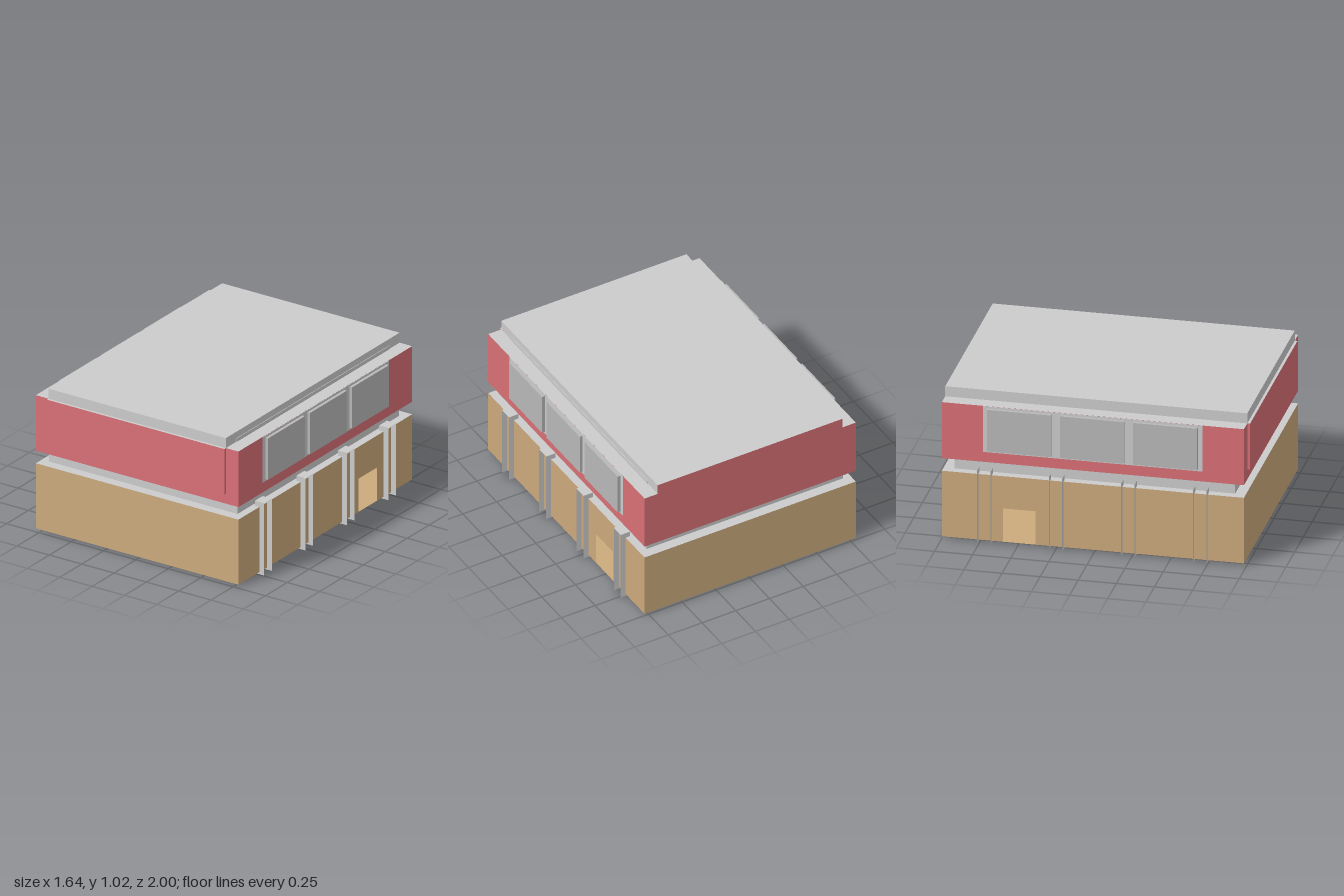
import * as THREE from 'three';

const mat = (color, side = THREE.FrontSide) => new THREE.MeshStandardMaterial({ color, side });
const grey = mat(0xcccccc), greyThin = mat(0xcccccc, THREE.DoubleSide);
const glass = mat(0xb8b8b8);
const red = mat(0xd97076), tanThin = mat(0xcca970, THREE.DoubleSide);
tanThin.color.set(0xcbaa7c);

export function createModel() {
  const root = new THREE.Group();
  const building = new THREE.Group();
  building.name = 'building';
  building.position.x = -0.003;
  root.add(building);

  const add = (name, geometry, material, parent = building) => {
    const mesh = new THREE.Mesh(geometry, material);
    mesh.name = name;
    parent.add(mesh);
    return mesh;
  };
  // Box given by its limits on each axis
  const box = (name, [x0, x1], [y0, y1], [z0, z1], material, parent) => {
    const mesh = add(name, new THREE.BoxGeometry(x1 - x0, y1 - y0, z1 - z0), material, parent);
    mesh.position.set((x0 + x1) / 2, (y0 + y1) / 2, (z0 + z1) / 2);
    return mesh;
  };
  // Horizontal sheet, facing up or down
  const sheet = (name, [x0, x1], y, [z0, z1], material, up = true, parent) => {
    const g = new THREE.PlaneGeometry(x1 - x0, z1 - z0).rotateX(up ? -Math.PI / 2 : Math.PI / 2);
    const mesh = add(name, g, material, parent);
    mesh.position.set((x0 + x1) / 2, y, (z0 + z1) / 2);
    return mesh;
  };

  const W = 0.783, ZB = -1, ZF = 0.982;   // half width, back, front
  const Y0 = 0.015, Y1 = 0.472;           // ground storey
  const Y2 = 0.56, Y3 = 0.95;             // upper storey

  // Hollow ground storey: floor, ceiling and thin walls
  sheet('groundFloor', [-W, W], Y0, [ZB, ZF], tanThin);
  sheet('groundCeiling', [-W, W], Y1, [ZB, ZF], greyThin);
  for (const [name, z] of [['frontWall', ZF], ['backWall', ZB]]) {
    const wall = add(name, new THREE.PlaneGeometry(2 * W, Y1 - Y0), tanThin);
    wall.position.set(0, (Y0 + Y1) / 2, z);
    if (z < 0) wall.rotation.y = Math.PI;
  }

  // Side wall outline with a doorway notch; shape x runs along -z
  const sideShape = new THREE.Shape([
    [-ZF, Y0], [0.385, Y0], [0.385, 0.248], [0.598, 0.248],
    [0.598, Y0], [-ZB, Y0], [-ZB, Y1], [-ZF, Y1],
  ].map(([x, y]) => new THREE.Vector2(x, y)));

  // Recessed band and upper storey
  box('recessedBand', [-0.728, 0.728], [Y1, Y2], [-0.93, 0.912], grey);
  box('upperStorey', [-W, W], [Y2, Y3], [ZB, ZF], [red, red, grey, grey, red, red]);

  // Raised roof, its back flush with the upper storey
  box('roof', [-0.686, 0.686], [Y3, 1.02], [ZB, ZF], [grey, grey, grey, grey, grey, red]);
  box('roofFlashing', [0.684, 0.69], [Y3, 0.975], [-0.88, 0.86], grey);

  // Flat panel on the front
  box('frontPanel', [-0.686, 0.686], [0.63, Y3], [ZF, 1], [red, red, grey, red, red, red]);

  for (const s of [1, -1]) {
    const side = s > 0 ? 'left' : 'right';
    const span = (a, b) => (s > 0 ? [a, b] : [-b, -a]);

    const wall = add(`${side}Wall`, new THREE.ShapeGeometry(sideShape), tanThin);
    wall.rotation.y = Math.PI / 2;
    wall.position.x = s * W;

    // Window strip with three projecting panes
    box(`${side}WindowFrame`, span(W - 0.01, W + 0.003), [0.63, Y3 - 0.001], [-0.73, 0.71], grey);
    for (const z of [-0.49, -0.01, 0.47]) {
      box(`${side}Window`, span(W, 0.807), [0.645, 0.935], [z - 0.21, z + 0.21], glass);
    }

    // Open channel columns: two fins joined by an inner web
    for (const zc of [-0.717, -0.246, 0.228, 0.7]) {
      const column = new THREE.Group();
      column.name = `${side}Column`;
      building.add(column);
      const xs = span(0.75, 0.82), zs = [zc - 0.044, zc + 0.044];
      for (const z of zs) {
        const fin = add('columnFin', new THREE.PlaneGeometry(0.07, 0.508), greyThin, column);
        fin.position.set(s * 0.785, 0.254, z);
      }
      const web = add('columnWeb', new THREE.PlaneGeometry(0.088, 0.508), grey, column);
      web.position.set(s * 0.75, 0.254, zc);
      web.rotation.y = -s * Math.PI / 2;
      if (s > 0) {
        sheet('columnCap', xs, 0.508, zs, grey, true, column);
        sheet('columnFoot', xs, 0, zs, grey, false, column);
      }
    }
  }
  return root;
}
